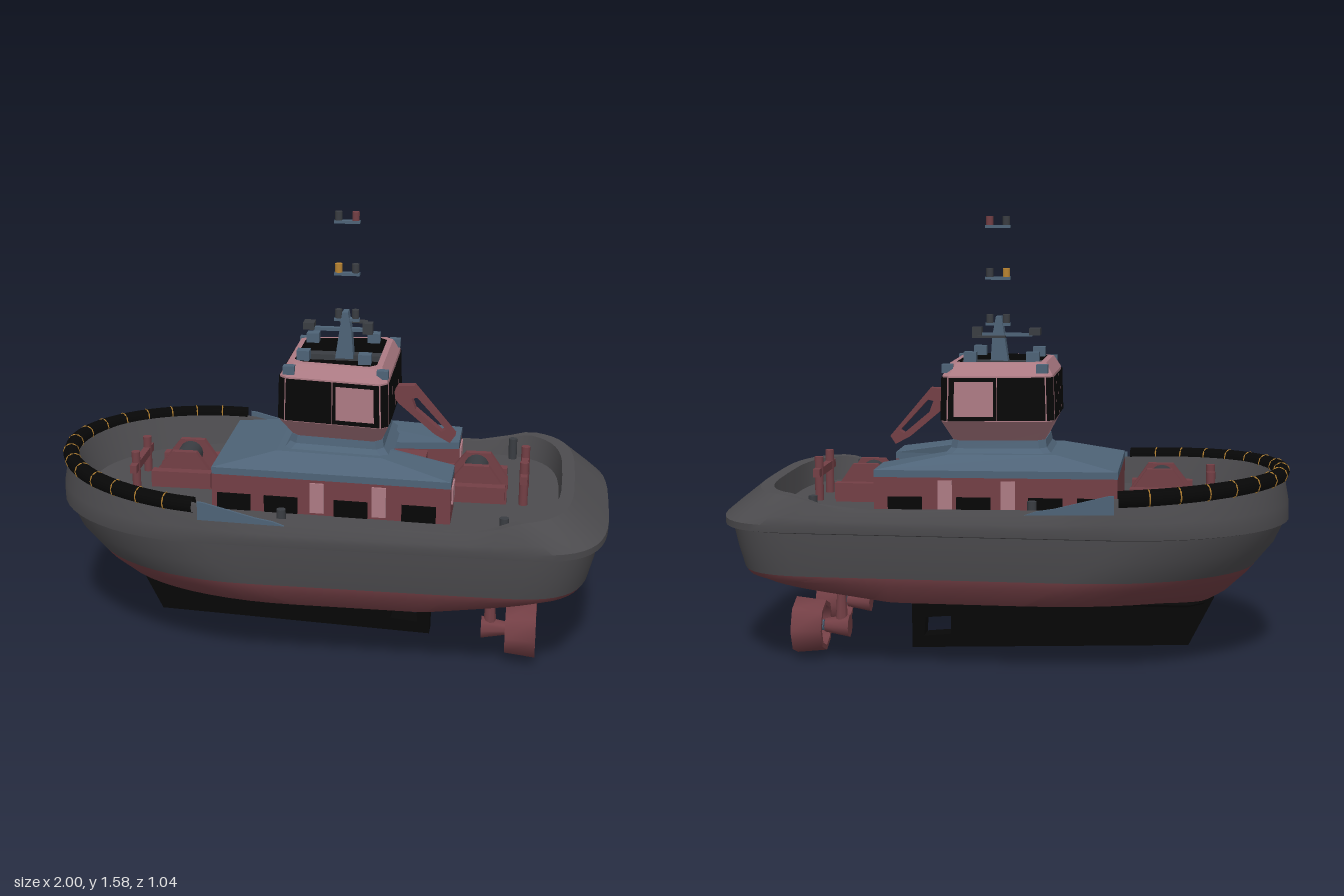
import * as THREE from 'three';
import { toCreasedNormals } from 'three/addons/utils/BufferGeometryUtils.js';

const mat = (name, color) => new THREE.MeshStandardMaterial({ name, color, side: THREE.DoubleSide });
const M = {
  grey: mat('hull grey', 0x4d4c4f), red: mat('maroon', 0x733f45), pink: mat('dusty pink', 0xad7b84),
  blue: mat('slate blue', 0x4e6377), black: mat('rubber black', 0x070707), steel: mat('dark steel', 0x3a3d42),
  orange: mat('amber', 0xb98432),
};
const DECK = 0.555;

// Surface through rings of [x, y, z] points, optionally capped at either end
function loft(rings, { bottom = false, top = false, crease = 0.5 } = {}) {
  const pos = [], n = rings[0].length;
  const tri = (a, b, c) => pos.push(...a, ...b, ...c);
  for (let k = 0; k < rings.length - 1; k++)
    for (let i = 0; i < n; i++) {
      const j = (i + 1) % n, a = rings[k], b = rings[k + 1];
      tri(a[i], a[j], b[j]);
      tri(a[i], b[j], b[i]);
    }
  const cap = (ring, up) => {
    const flat = ring.map(p => new THREE.Vector2(p[0], p[2]));
    for (const [a, b, c] of THREE.ShapeUtils.triangulateShape(flat, [])) {
      const [p, q, r] = [ring[a], ring[b], ring[c]];
      const ny = (q[2] - p[2]) * (r[0] - p[0]) - (q[0] - p[0]) * (r[2] - p[2]);
      if ((ny > 0) === up) tri(p, q, r); else tri(p, r, q);
    }
  };
  if (bottom) cap(rings[0], false);
  if (top) cap(rings[rings.length - 1], true);
  const g = new THREE.BufferGeometry();
  g.setAttribute('position', new THREE.Float32BufferAttribute(pos, 3));
  return toCreasedNormals(g, crease);
}

// Boat outline at one level: round bow at xb, squared stern at xs, half beam w
function outline(xb, xs, w, yf, bow = 0.6) {
  const half = [], a = 0.36;
  for (let i = 0; i <= 14; i++) {
    const t = i / 14 * Math.PI / 2;
    half.push([xb + bow * (1 - Math.cos(t)), w * Math.sin(t)]);
  }
  const x0 = xb + bow, x1 = xs - a;
  for (let i = 1; i <= 12; i++) half.push([x0 + (x1 - x0) * i / 12, w]);
  for (let i = 1; i <= 12; i++) {
    const t = i / 12 * Math.PI / 2, e = 0.57;
    half.push([x1 + a * Math.sin(t) ** e, i === 12 ? 0 : w * Math.cos(t) ** e]);
  }
  const loop = [...half, ...half.slice(1, -1).reverse().map(([x, z]) => [x, -z])];
  return loop.map(([x, z]) => [x, typeof yf === 'function' ? yf(x) : yf, z]);
}

// Height of the bulwark along the boat
const SHEER = [[-1, 0.685], [-0.4, 0.655], [-0.2, 0.61], [0.55, 0.6], [0.7, 0.645], [1, 0.645]];
function sheer(x) {
  for (let i = 1; i < SHEER.length; i++) {
    const [a, ya] = SHEER[i - 1], [b, yb] = SHEER[i];
    if (x <= b) return ya + (yb - ya) * (Math.max(x, a) - a) / (b - a);
  }
  return 0.645;
}
const rise = x => Math.max(0, (x - 0.37) / 0.5 * 0.12);

// Four-cornered ring with chamfers, half width zf at the bow end and zb at the stern end
function cabinRing(y, x0, x1, zf, zb, c = 0.025) {
  const h = [[x0, zf - c], [x0 + c, zf], [x1 - c, zb], [x1, zb - c]];
  return [...h, ...h.slice().reverse().map(([x, z]) => [x, -z])].map(([x, z]) => [x, y, z]);
}

export function createModel() {
  const root = new THREE.Group();
  const add = (name, geo, m, x = 0, y = 0, z = 0, parent = root) => {
    const mesh = new THREE.Mesh(geo, m);
    mesh.name = name;
    mesh.position.set(x, y, z);
    parent.add(mesh);
    return mesh;
  };
  const box = (name, m, x, y, z, w, h, d) => add(name, new THREE.BoxGeometry(w, h, d), m, x, y, z);
  const cyl = (name, m, x, y, z, r, h, axis = 'y', r2 = r, n = 12, parent = root) => {
    const g = new THREE.CylinderGeometry(r2, r, h, n);
    if (axis === 'x') g.rotateZ(-Math.PI / 2);
    if (axis === 'z') g.rotateX(Math.PI / 2);
    return add(name, g, m, x, y, z, parent);
  };
  const plate = (pts, depth, holes = []) => {
    const s = new THREE.Shape(pts.map(p => new THREE.Vector2(...p)));
    for (const h of holes) s.holes.push(new THREE.Path(h.map(p => new THREE.Vector2(...p))));
    return new THREE.ExtrudeGeometry(s, { depth, bevelEnabled: false }).translate(0, 0, -depth / 2);
  };

  // Hull: painted bottom, topsides, rubbing strake, bulwark and deck
  const waterline = outline(-0.885, 0.94, 0.462, 0.36, 0.64);
  add('hullBottom', loft([
    outline(-0.72, 0.85, 0.12, x => 0.21 + rise(x), 0.5),
    outline(-0.79, 0.9, 0.4, x => 0.262 + 0.55 * rise(x), 0.7),
    outline(-0.86, 0.93, 0.454, x => 0.33 + 0.12 * rise(x), 0.66),
    waterline,
  ], { bottom: true, crease: 0.7 }), M.red);
  add('hullSides', loft([
    waterline,
    outline(-0.95, 0.96, 0.48, 0.44),
    outline(-0.985, 0.975, 0.488, 0.515),
    outline(-1, 1, 0.502, 0.52),
    outline(-1, 1, 0.506, 0.545),
    outline(-0.998, 0.965, 0.504, x => 0.55 + 0.25 * (sheer(x) - 0.55)),
    outline(-0.98, 0.875, 0.487, sheer),
    outline(-0.95, 0.83, 0.46, sheer),
    outline(-0.9, 0.82, 0.445, DECK),
  ], { top: true }), M.grey);
  const wing = plate([[-0.4, 0.605], [-0.1, 0.598], [-0.14, 0.612], [-0.2, 0.622], [-0.38, 0.668], [-0.4, 0.67]], 0.009);
  for (const z of [-0.495, 0.495]) add('bulwarkWing', wing, M.blue, 0, 0, z);

  // Keel fin with its opening, spreading into the flat of the bottom
  add('keelFin', plate([[-0.74, 0.225], [-0.65, 0.045], [0.365, 0.005], [0.365, 0.225]], 0.075,
    [[[0.22, 0.06], [0.32, 0.05], [0.315, 0.12], [0.22, 0.128]]]), M.black);
  add('keelPad', loft([cabinRing(0.204, -0.7, 0.38, 0.12, 0.14, 0.06), cabinRing(0.214, -0.71, 0.42, 0.13, 0.15, 0.06)], { bottom: true }), M.black);

  // Bow fender with lashings
  const path = [];
  for (let i = 0; i <= 24; i++) {
    const t = (i / 12 - 1) * 1.5, x = -0.971 + 0.6 * (1 - Math.cos(t));
    path.push(new THREE.Vector3(x, sheer(x) + 0.002, 0.494 * Math.sin(t)));
  }
  const curve = new THREE.CatmullRomCurve3(path);
  add('bowFender', new THREE.TubeGeometry(curve, 72, 0.029, 8), M.black);
  for (let i = 1; i < 16; i++) {
    const ring = add('fenderLashing', new THREE.TorusGeometry(0.028, 0.003, 4, 10), M.orange);
    ring.position.copy(curve.getPointAt(i / 16));
    ring.lookAt(ring.position.clone().add(curve.getTangentAt(i / 16)));
  }

  // Steerable thrusters
  for (const s of [-1, 1]) {
    const g = new THREE.Group();
    g.name = 'thruster';
    g.position.set(0.6, 0.12, s * 0.19);
    root.add(g);
    cyl('thrusterStrut', M.red, -0.005, 0.08, 0, 0.024, 0.16, 'y', 0.014, 8, g);
    cyl('thrusterPod', M.red, 0.01, 0, 0, 0.042, 0.09, 'x', 0.025, 8, g);
    const prof = [[0.074, 0], [0.092, 0], [0.104, 0.108], [0.078, 0.108], [0.074, 0]].map(p => new THREE.Vector2(...p));
    add('nozzle', toCreasedNormals(new THREE.LatheGeometry(prof, 8).rotateZ(-Math.PI / 2), 0.9), M.red, 0.052, 0, 0, g);
    cyl('propellerHub', M.blue, 0.1, 0, 0, 0.02, 0.08, 'x', 0.012, 8, g);
    for (let i = 0; i < 4; i++) {
      const blade = add('propellerBlade', new THREE.BoxGeometry(0.008, 0.06, 0.036).rotateY(0.6).translate(0, 0.042, 0), M.blue, 0.1, 0, 0, g);
      blade.rotation.x = i * Math.PI / 2 + 0.3;
    }
  }

  // Deckhouse with notched stern end and sloping roof
  const sym = (y, h) => [...h, ...h.slice().reverse().map(([x, z]) => [x, -z])].map(([x, z]) => [x, y, z]);
  const plan = [[-0.4, 0.26], [0.45, 0.3], [0.45, 0.12], [0.2, 0.09]];
  add('deckhouseWalls', loft([sym(DECK, plan), sym(0.685, plan)]), M.red);
  add('deckhouseRoof', loft([sym(0.685, plan), sym(0.71, plan),
    sym(0.755, [[-0.18, 0.18], [0.2, 0.21], [0.2, 0.11], [0.18, 0.08]])], { top: true, crease: 0.1 }), M.blue);
  add('cabinPlinth', loft([cabinRing(0.74, -0.17, 0.23, 0.17, 0.2), cabinRing(0.772, -0.14, 0.2, 0.14, 0.17),
    cabinRing(0.8, -0.135, 0.195, 0.135, 0.165)], { top: true, crease: 0.1 }), M.blue);
  for (const s of [-1, 1]) {
    const wall = (name, m, x, y, w, h) => {
      const p = box(name, m, x, y, s * (0.279 + 0.047 * x + 0.003), w, h, 0.008);
      p.rotation.y = -s * 0.047;
    };
    for (const x of [-0.32, -0.15, 0.1, 0.34]) wall('wallPanel', M.black, x, 0.587, 0.12, 0.06);
    for (const x of [-0.02, 0.2]) wall('wallDoor', M.pink, x, 0.62, 0.05, 0.11);
    box('sternPanel', M.pink, 0.452, 0.645, s * 0.21, 0.008, 0.06, 0.1);
  }

  // Wheelhouse shell, open roof and interior
  const sill = cabinRing(0.875, -0.17, 0.222, 0.2, 0.245), head = cabinRing(1.035, -0.165, 0.218, 0.198, 0.242);
  const rim = cabinRing(1.08, -0.12, 0.175, 0.15, 0.185);
  add('wheelhouse', loft([cabinRing(0.795, -0.13, 0.19, 0.13, 0.16), sill, head,
    cabinRing(1.078, -0.14, 0.195, 0.17, 0.205), rim], { crease: 0.1 }), M.pink);
  add('wheelhouseInterior', loft([rim, cabinRing(0.88, -0.13, 0.185, 0.155, 0.2)], { top: true, crease: 0.1 }), M.black);
  box('interiorConsole', M.red, 0.03, 0.91, 0.085, 0.27, 0.06, 0.07);
  box('interiorBench', M.steel, 0.03, 0.91, -0.14, 0.24, 0.06, 0.07);

  // Window panes laid just outside each wall
  const lerp = (a, b, t) => a.map((v, i) => v + (b[i] - v) * t);
  for (let i = 0; i < 8; i++) {
    const j = (i + 1) % 8, side = i === 1 || i === 5, wide = side || i === 3 || i === 7;
    const count = side ? 2 : wide ? 4 : 1;
    const at = (u, v) => lerp(lerp(sill[i], sill[j], u), lerp(head[i], head[j], u), v);
    const out = new THREE.Vector3(-(sill[j][2] - sill[i][2]), 0, sill[j][0] - sill[i][0]).normalize().multiplyScalar(0.004);
    const pane = (name, m, u0, u1, v0, v1, k) => {
      const q = [at(u0, v0), at(u1, v0), at(u1, v1), at(u0, v1)], g = new THREE.BufferGeometry();
      g.setAttribute('position', new THREE.Float32BufferAttribute([0, 1, 2, 0, 2, 3].flatMap(a => q[a]), 3));
      g.computeVertexNormals();
      add(name, g, m, out.x * k, 0, out.z * k);
    };
    for (let k = 0; k < count; k++) {
      const m = wide ? 0.004 : 0.02;
      pane('window', M.black, k / count + m, (k + 1) / count - m, 0.02, 0.97, 1);
    }
    if (side) {
      const [u0, u1] = i === 1 ? [0.54, 0.94] : [0.06, 0.46];
      pane('clearWindow', M.pink, u0, u1, 0.12, 0.88, 1.5);
    }
  }

  // Roof lamps, mast, radar and mast-top light platforms
  for (const s of [-1, 1]) {
    for (const x of [-0.09, 0.13]) box('roofLamp', M.blue, x, 1.095, s * (0.125 + 0.1 * x), 0.045, 0.035, 0.04);
    box('cornerLamp', M.blue, -0.13, 1.06, s * 0.19, 0.04, 0.03, 0.03);
    box('cornerLamp', M.blue, 0.2, 1.06, s * 0.205, 0.04, 0.03, 0.03);
  }
  box('mastBeam', M.steel, 0.027, 1.06, 0, 0.3, 0.02, 0.045);
  add('mast', plate([[0.01, 1.06], [0.075, 1.06], [0.068, 1.16], [0.055, 1.23], [0.035, 1.23]], 0.046), M.blue, 0, 0, 0.01);
  box('radarArm', M.blue, 0.025, 1.163, 0.01, 0.2, 0.012, 0.02);
  box('radarScanner', M.steel, -0.085, 1.175, 0.01, 0.04, 0.025, 0.05);
  box('searchlight', M.steel, 0.125, 1.17, 0.01, 0.035, 0.04, 0.035);
  box('antennaPlate', M.steel, 0.06, 1.163, -0.1, 0.1, 0.007, 0.025);
  for (const y of [1.2, 1.365, 1.55]) {
    box('lightPlatform', M.blue, 0.05, y, 0.012, 0.09, 0.01, 0.026);
    cyl('signalLamp', y === 1.365 ? M.orange : M.steel, 0.02, y + 0.02, 0.012, 0.013, 0.032);
    cyl('signalLamp', y === 1.55 ? M.red : M.steel, 0.08, y + 0.02, 0.012, 0.013, 0.032);
  }

  // Folding deck crane carried behind the wheelhouse
  add('craneBoom', plate([[0.215, 0.93], [0.235, 0.965], [0.295, 0.968], [0.445, 0.79], [0.425, 0.76], [0.37, 0.79], [0.24, 0.9]], 0.04,
    [[[0.285, 0.92], [0.305, 0.925], [0.41, 0.81], [0.395, 0.8], [0.3, 0.88]]]), M.red, 0, 0, 0.01);
  box('craneBase', M.red, 0.28, 0.63, 0, 0.12, 0.14, 0.1);

  // Towing winches, H-shaped bitts and deck posts
  for (const x of [-0.545, 0.52]) {
    for (const s of [-1, 1]) {
      add('winchFrame', plate([[-0.115, DECK], [0.115, DECK], [0.115, 0.6], [0.05, 0.695], [-0.04, 0.695], [-0.115, 0.6]], 0.025), M.red, x, 0, s * 0.07);
      box('winchMotor', M.red, x, 0.6, s * 0.1, 0.22, 0.06, 0.04);
    }
    cyl('winchDrum', M.steel, x, 0.645, 0, 0.045, 0.13, 'z', 0.045, 16);
  }
  for (const [x, y] of [[-0.72, 0.61], [0.695, 0.64]]) {
    box('bittCrossbar', M.red, x, y + 0.025, 0, 0.025, 0.03, 0.26);
    for (const s of [-1, 1]) cyl('bittPost', M.red, x, y, s * 0.085, 0.016, 0.16);
  }
  for (const s of [-1, 1])
    for (const [x, z] of [[0.64, 0.41], [-0.12, 0.435]]) cyl('deckPost', M.steel, x, 0.595, s * z, 0.016, 0.08);

  return root;
}
